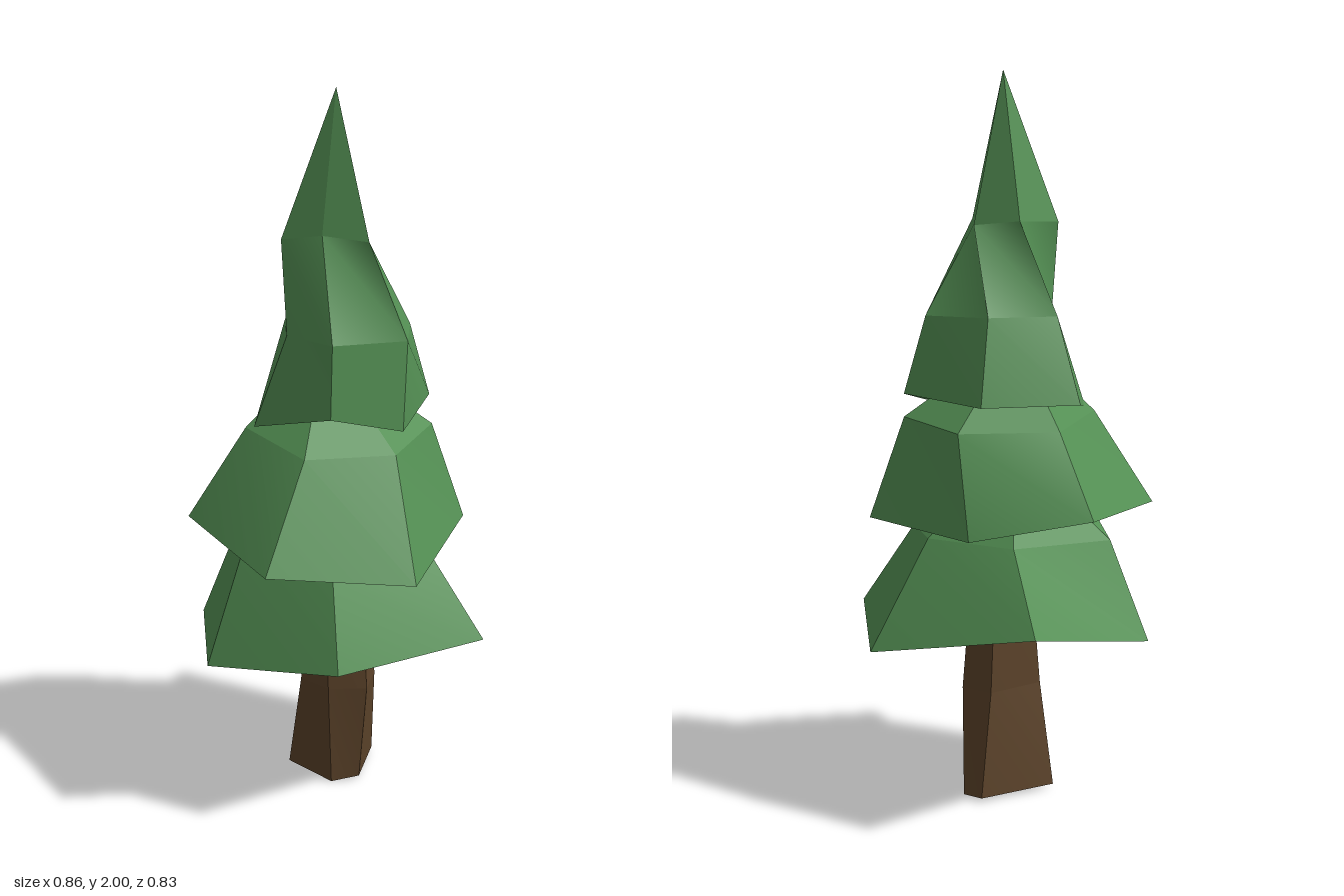
import * as THREE from 'three';

const green = new THREE.MeshStandardMaterial({ color: 0x549054 });
const brown = new THREE.MeshStandardMaterial({ color: 0x5c432a });

// Skins a stack of rings (bottom to top, clockwise seen from above) with
// separate facets, closing the underside and the top with fans to a point.
function loft(name, base, rings, tip, material) {
  const pos = [];
  const index = [];
  const facet = (...corners) => {
    const s = pos.length / 3;
    corners.forEach((p) => pos.push(...p));
    for (let k = 2; k < corners.length; k++) index.push(s, s + k - 1, s + k);
  };
  const n = rings[0].length;
  const last = rings[rings.length - 1];
  for (let i = 0; i < n; i++) {
    const j = (i + 1) % n;
    facet(rings[0][i], rings[0][j], base);
    for (let r = 0; r + 1 < rings.length; r++) {
      const [low, up] = [rings[r], rings[r + 1]];
      facet(low[i], up[i], up[j], low[j]);
    }
    facet(last[j], last[i], tip);
  }
  const geometry = new THREE.BufferGeometry();
  geometry.setAttribute('position', new THREE.Float32BufferAttribute(pos, 3));
  geometry.setIndex(index);
  geometry.computeVertexNormals();
  const mesh = new THREE.Mesh(geometry, material);
  mesh.name = name;
  return mesh;
}

export function createModel() {
  const tree = new THREE.Group();
  tree.name = 'pineTree';

  // Bent five-sided trunk
  tree.add(loft('trunk', [-0.02, 0.01, -0.05], [
    [[-0.04, 0.01, -0.18], [0.02, 0.01, -0.178], [0.073, 0.01, -0.005], [0.01, 0, 0.05], [-0.155, 0.01, 0.02]],
    [[-0.04, 0.3, -0.13], [0.06, 0.3, -0.12], [0.095, 0.3, -0.01], [0, 0.3, 0.05], [-0.105, 0.3, 0.03]],
    [[-0.04, 0.58, -0.11], [0.04, 0.58, -0.11], [0.072, 0.58, -0.02], [-0.01, 0.58, 0.035], [-0.085, 0.58, 0.02]],
  ], [-0.01, 0.61, -0.04], brown));

  // Lower foliage: rim and shoulder
  tree.add(loft('lowerFoliage', [-0.01, 0.56, -0.04], [
    [[-0.34, 0.56, -0.405], [0.16, 0.46, -0.42], [0.425, 0.5, -0.09],
      [0.19, 0.5, 0.32], [-0.21, 0.45, 0.355], [-0.43, 0.46, 0.06]],
    [[-0.19, 0.75, -0.26], [0.08, 0.75, -0.26], [0.25, 0.74, -0.08],
      [0.12, 0.75, 0.23], [-0.155, 0.77, 0.25], [-0.31, 0.73, 0.06]],
  ], [-0.06, 0.99, -0.05], green));

  // Middle foliage: rim and shoulder
  tree.add(loft('middleFoliage', [-0.02, 0.87, -0.03], [
    [[-0.41, 0.84, -0.23], [-0.12, 0.78, -0.37], [0.27, 0.79, -0.265],
      [0.335, 0.73, 0.155], [0.025, 0.78, 0.415], [-0.365, 0.82, 0.21]],
    [[-0.26, 1.05, -0.14], [-0.05, 1.05, -0.31], [0.19, 1.07, -0.21],
      [0.2, 1.04, 0.025], [0.025, 1.05, 0.215], [-0.225, 1.08, 0.12]],
  ], [-0.07, 1.29, -0.05], green));

  // Top foliage: rim, shoulder, neck and tip
  tree.add(loft('topFoliage', [-0.03, 1.17, -0.07], [
    [[-0.3, 1.12, -0.1], [-0.115, 1.12, -0.3], [0.155, 1.14, -0.26],
      [0.19, 1.09, -0.035], [0.068, 1.15, 0.15], [-0.19, 1.09, 0.13]],
    [[-0.215, 1.35, -0.075], [-0.1, 1.35, -0.24], [0.11, 1.35, -0.22],
      [0.19, 1.34, -0.055], [0.066, 1.35, 0.137], [-0.105, 1.35, 0.09]],
    [[-0.125, 1.6, -0.12], [0, 1.59, -0.15], [0.04, 1.61, -0.068],
      [0.105, 1.61, 0.01], [-0.025, 1.62, 0.035], [-0.155, 1.6, 0.035]],
  ], [-0.04, 2, -0.065], green));

  return tree;
}
